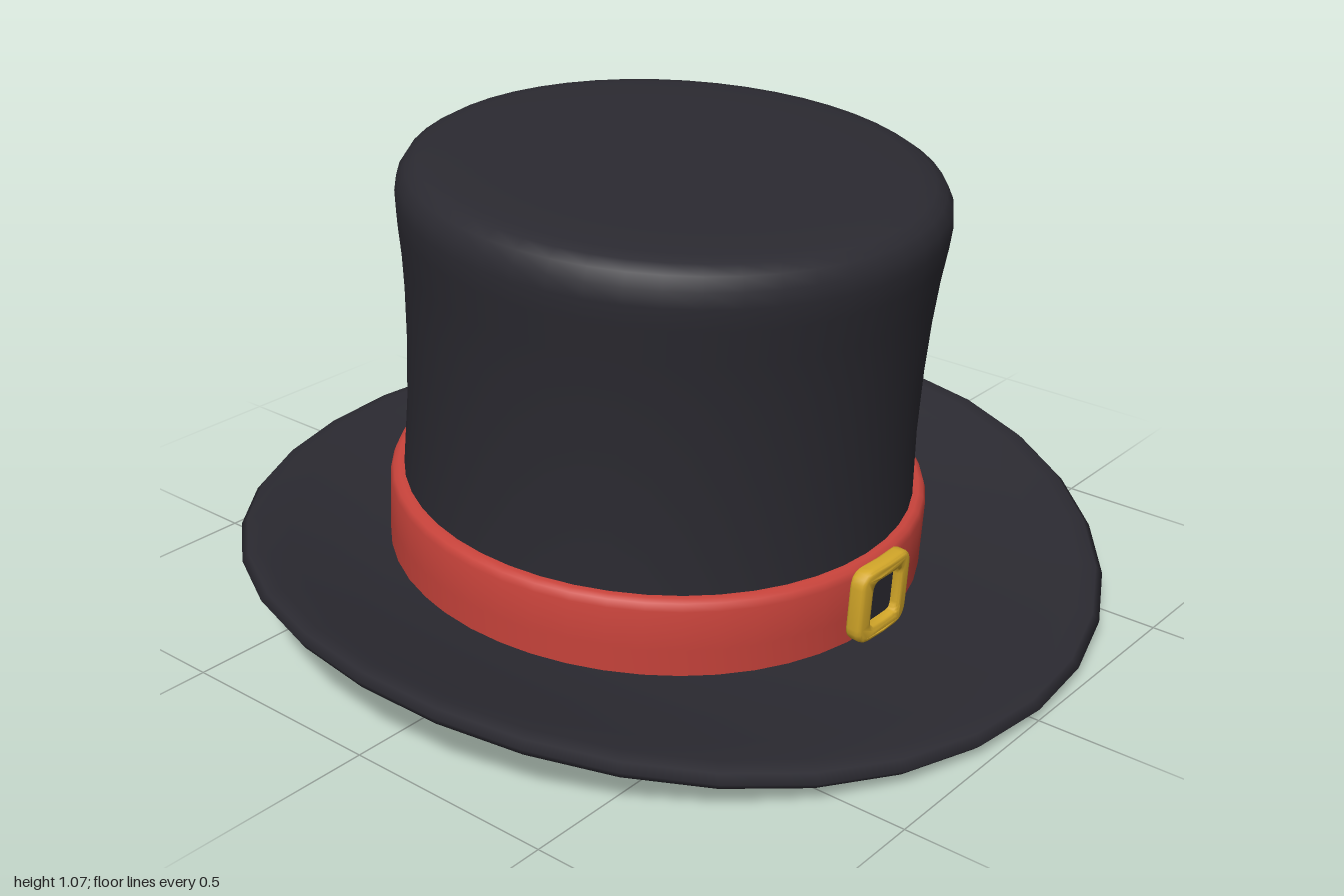
import * as THREE from 'three';
import { mergeVertices, toCreasedNormals } from 'three/addons/utils/BufferGeometryUtils.js';

const TILT = 0.07;      // the back of the hat sits higher
const CROWN_Z = -0.06;  // crown sits slightly behind the brim centre

const paint = (color) => new THREE.MeshStandardMaterial({ color });
const felt = paint(0x2b2a31);
const red = paint(0xc8433b);
const gold = paint(0xd3a729);

function lathe(points, segments) {
  return new THREE.LatheGeometry(points.map(([r, y]) => new THREE.Vector2(r, y)), segments);
}

// Moves every vertex by a rule, then rebuilds seamless smooth normals
function reshape(geometry, rule) {
  geometry.deleteAttribute('uv');
  geometry.deleteAttribute('normal');
  const p = geometry.attributes.position;
  const v = new THREE.Vector3();
  for (let i = 0; i < p.count; i++) {
    rule(v.fromBufferAttribute(p, i));
    p.setXYZ(i, v.x, v.y, v.z);
  }
  const merged = mergeVertices(geometry, 1e-4);
  merged.computeVertexNormals();
  return merged;
}

function part(name, geometry, material, z = 0) {
  const mesh = new THREE.Mesh(geometry, material);
  mesh.name = name;
  mesh.position.z = z;
  return mesh;
}

// Brim: a thick disc with a rounded rim, curling up at both sides
function brimGeometry() {
  const inner = 0.58;
  const section = [
    [inner, -0.022], [0.68, -0.024], [0.78, -0.026], [0.88, -0.028], [0.95, -0.028],
    [0.985, -0.018], [1, 0], [0.985, 0.018], [0.95, 0.027],
    [0.88, 0.026], [0.78, 0.024], [0.68, 0.022], [inner, 0.022],
  ];
  return reshape(lathe(section, 32), (v) => {
    const r = Math.hypot(v.x, v.z);
    const t = Math.max(0, (r - inner) / (1 - inner));
    const side = Math.abs(v.x) / r;
    v.y += 0.082 + 0.02 * t + 0.083 * side ** 2.4 * t ** 1.4;
    v.z += CROWN_Z * (1 - t) - 0.005 * t;
  });
}

// Crown: hollow, from the inside of the lid down, round the lip and up the outside
function crownGeometry() {
  const profile = [
    [0, 1.0], [0.5, 0.995], [0.56, 0.96], [0.565, 0.9], [0.55, 0.7], [0.55, 0.4],
    [0.555, 0.1], [0.575, 0.1], [0.575, 0.05],
    [0.607, 0.05], [0.607, 0.1], [0.597, 0.2], [0.59, 0.3], [0.584, 0.45], [0.585, 0.6],
    [0.59, 0.72], [0.598, 0.82], [0.608, 0.9], [0.612, 0.95], [0.608, 0.985],
    [0.592, 1.012], [0.567, 1.028], [0.53, 1.034], [0.4, 1.035], [0, 1.035],
  ];
  return toCreasedNormals(reshape(lathe(profile, 48), () => {}), 0.9);
}

// Ribbon band wrapped round the foot of the crown
function bandGeometry() {
  const profile = [
    [0.58, 0.09], [0.622, 0.09], [0.622, 0.17], [0.622, 0.265], [0.616, 0.282],
    [0.604, 0.288], [0.58, 0.285],
  ];
  return toCreasedNormals(reshape(lathe(profile, 48), () => {}), 0.9);
}

function roundedRect(path, w, h, r) {
  const x = w / 2, y = h / 2;
  path.moveTo(-x + r, -y);
  path.lineTo(0, -y);
  path.lineTo(x - r, -y);
  path.quadraticCurveTo(x, -y, x, -y + r);
  path.lineTo(x, y - r);
  path.quadraticCurveTo(x, y, x - r, y);
  path.lineTo(0, y);
  path.lineTo(-x + r, y);
  path.quadraticCurveTo(-x, y, -x, y - r);
  path.lineTo(-x, -y + r);
  path.quadraticCurveTo(-x, -y, -x + r, -y);
  return path;
}

// Buckle frame, bent to follow the band
function buckleGeometry() {
  const shape = roundedRect(new THREE.Shape(), 0.16, 0.16, 0.03);
  shape.holes.push(roundedRect(new THREE.Path(), 0.126, 0.14, 0.03));
  shape.holes[0] = roundedRect(new THREE.Path(), 0.122, 0.134, 0.03);
  const geometry = new THREE.ExtrudeGeometry(shape, {
    depth: 0.02, bevelEnabled: true, bevelThickness: 0.01, bevelSize: 0.011,
    bevelSegments: 3, curveSegments: 5,
  });
  const bent = reshape(geometry, (v) => { v.z -= v.x * v.x / 1.24; });
  return toCreasedNormals(bent, 0.9);
}

export function createModel() {
  const hat = new THREE.Group();
  hat.name = 'topHat';

  hat.add(part('brim', brimGeometry(), felt));
  hat.add(part('crown', crownGeometry(), felt, CROWN_Z));
  hat.add(part('band', bandGeometry(), red, CROWN_Z));

  const buckle = part('buckle', buckleGeometry(), gold, 0.567);
  buckle.position.y = 0.2;
  hat.add(buckle);

  // Dark patch seen through the buckle
  const patch = part('bucklePatch', new THREE.BoxGeometry(0.13, 0.145, 0.03), felt, 0.558);
  patch.position.y = 0.2;
  hat.add(patch);

  hat.rotation.x = TILT;
  hat.position.y = -0.004;
  const model = new THREE.Group();
  model.name = 'hat';
  model.add(hat);
  return model;
}
